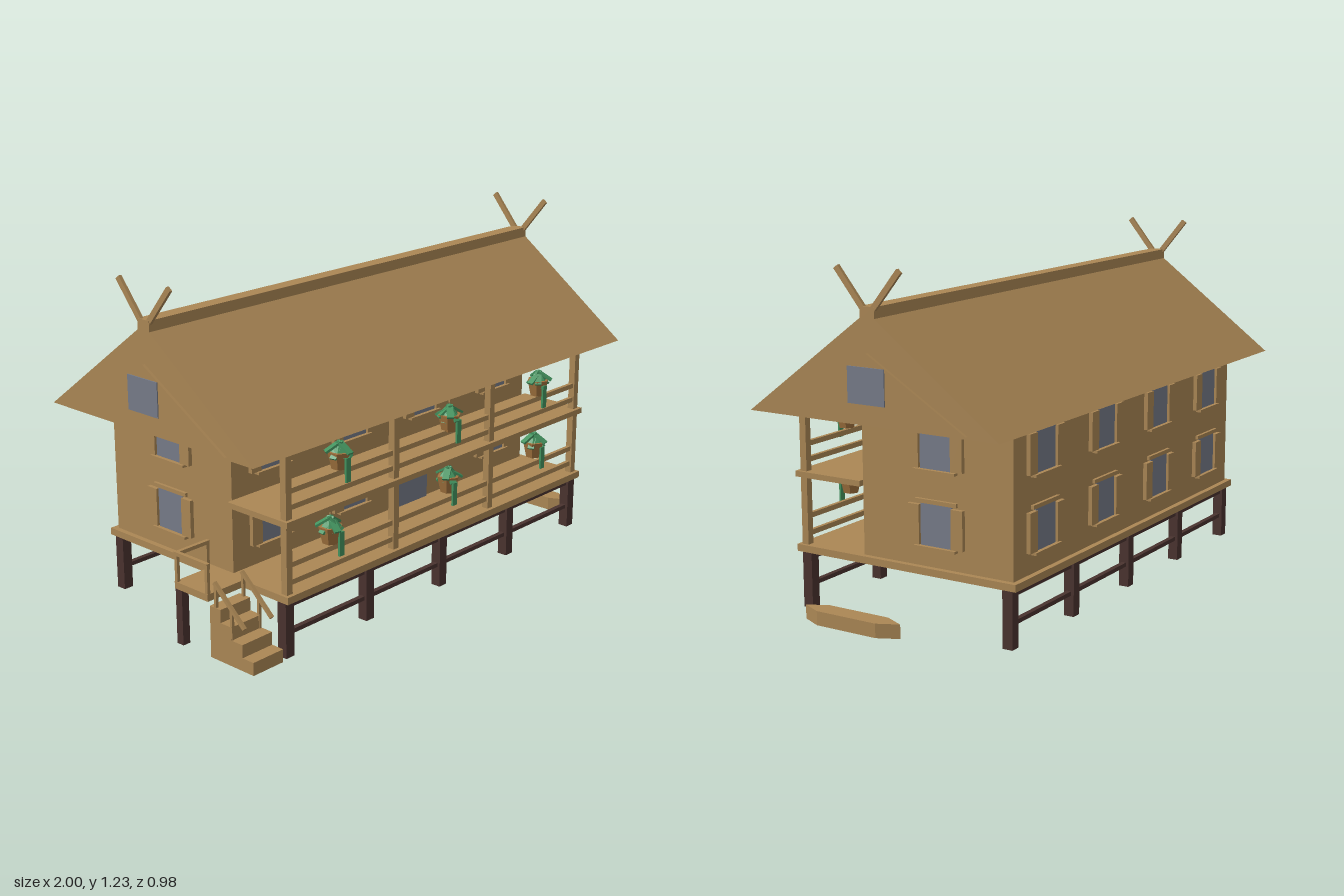
import * as THREE from 'three';

const mat = (name, color) => Object.assign(new THREE.MeshStandardMaterial({ color }), { name });
const wood = mat('warm wood', 0xab8755);
const dark = mat('dark timber', 0x4a332f);
const glass = mat('window grey', 0x777c89);
const green = mat('leaf green', 0x43935f);
const clay = mat('pot brown', 0xa3743f);

function add(parent, name, geometry, material, x = 0, y = 0, z = 0) {
  const m = new THREE.Mesh(geometry, material);
  m.name = name;
  m.position.set(x, y, z);
  parent.add(m);
  return m;
}

// Box given by its minimum and maximum along each axis
function box(parent, name, material, x0, x1, y0, y1, z0, z1) {
  return add(parent, name, new THREE.BoxGeometry(x1 - x0, y1 - y0, z1 - z0), material,
    (x0 + x1) / 2, (y0 + y1) / 2, (z0 + z1) / 2);
}

// Outline of [z, y] points pulled along x
function prism(parent, name, material, pts, x0, x1) {
  const shape = new THREE.Shape(pts.map(([z, y]) => new THREE.Vector2(-z, y)));
  const g = new THREE.ExtrudeGeometry(shape, { depth: x1 - x0, bevelEnabled: false });
  g.rotateY(Math.PI / 2);
  return add(parent, name, g, material, x0);
}

// Square bar between two points in the same x plane
function bar(parent, name, material, x, z0, y0, z1, y1, w, t) {
  const m = add(parent, name, new THREE.BoxGeometry(w, Math.hypot(y1 - y0, z1 - z0), t), material,
    x, (y0 + y1) / 2, (z0 + z1) / 2);
  m.rotation.x = Math.atan2(z1 - z0, y1 - y0);
  return m;
}

// Shuttered window facing +z, then turned and placed on a wall
function addWindow(parent, x, y, z, turn) {
  const w = new THREE.Group();
  w.name = 'window';
  box(w, 'windowPane', glass, -0.062, 0.062, -0.072, 0.072, 0, 0.006);
  box(w, 'windowHeader', wood, -0.082, 0.082, 0.072, 0.086, 0, 0.011);
  box(w, 'windowSill', wood, -0.082, 0.082, -0.081, -0.072, 0, 0.02);
  for (const s of [-1, 1])
    add(w, 'shutter', new THREE.BoxGeometry(0.046, 0.136, 0.015), wood, s * 0.086, -0.002, 0.0075);
  w.position.set(x, y, z);
  w.rotation.y = turn;
  parent.add(w);
}

// Hanging pot with drooping leaves and a trailing vine
function addPlant(parent, x, top, turn) {
  const p = new THREE.Group();
  p.name = 'hangingPlant';
  add(p, 'pot', new THREE.CylinderGeometry(0.042, 0.028, 0.06, 6).toNonIndexed(), clay, 0, -0.077, 0)
    .geometry.computeVertexNormals();
  add(p, 'potHanger', new THREE.BoxGeometry(0.006, 0.03, 0.006), wood, 0, 0.01, 0);
  for (let i = 0; i < 9; i++) {
    const leaf = new THREE.BoxGeometry(0.024, 0.008, 0.06);
    leaf.translate(0, 0, 0.028);
    leaf.rotateX(0.55 + 0.25 * (i % 3));
    leaf.rotateY((i / 9) * Math.PI * 2 + turn);
    add(p, 'leaf', leaf, green, 0, -0.016 - 0.008 * (i % 2), 0);
  }
  add(p, 'leafCrown', new THREE.ConeGeometry(0.036, 0.045, 6).toNonIndexed(), green, 0, -0.03, 0)
    .geometry.computeVertexNormals();
  const vx = 0.012 * Math.sin(turn * 2);
  add(p, 'vine', new THREE.BoxGeometry(0.022, 0.085, 0.008), green, vx, -0.105, 0.037);
  p.position.set(x, top, 0.43);
  parent.add(p);
}

export function createModel() {
  const house = new THREE.Group();
  house.name = 'stiltHouse';

  // Stilts and tie beams
  for (const z of [0.419, -0.399]) {
    for (let i = -2; i <= 2; i++) {
      const x = i * 0.391;
      box(house, 'stilt', dark, x - 0.019, x + 0.019, 0, 0.2, z - 0.019, z + 0.019);
    }
    box(house, 'upperTieBeam', dark, -0.78, 0.78, 0.172, 0.194, z - 0.009, z + 0.009);
    box(house, 'lowerTieBeam', dark, -0.78, 0.78, 0.075, 0.09, z - 0.009, z + 0.009);
  }

  // Floors and walls
  box(house, 'mainFloor', wood, -0.808, 0.808, 0.2, 0.225, -0.435, 0.455);
  box(house, 'walls', wood, -0.788, 0.788, 0.225, 0.726, -0.415, 0.18);
  box(house, 'balconyFloor', wood, -0.808, 0.808, 0.465, 0.485, 0.18, 0.455);

  // Veranda posts and railings
  for (const x of [-0.784, -0.262, 0.262, 0.784])
    box(house, 'verandaPost', wood, x - 0.013, x + 0.013, 0.225, 0.726, 0.415, 0.441);
  for (const y of [0.262, 0.323, 0.522, 0.578])
    box(house, 'verandaRail', wood, -0.784, 0.784, y - 0.009, y + 0.009, 0.421, 0.435);

  // Windows and door
  for (const y of [0.37, 0.63]) {
    for (const x of [-0.6, -0.2, 0.2, 0.6]) {
      if (y > 0.5 || x !== 0.2) addWindow(house, x - (x === 0.2 ? 0.02 : 0), y, 0.18, 0);
      addWindow(house, x, y, -0.415, Math.PI);
    }
    for (const s of [-1, 1]) addWindow(house, s * 0.788, y, -0.12, s * Math.PI / 2);
  }
  box(house, 'door', glass, 0.04, 0.2, 0.225, 0.45, 0.18, 0.189);

  // Solid roof with ridge cap
  prism(house, 'roof', wood, [[-0.49, 0.725], [0.49, 0.725], [0.028, 1.07], [-0.028, 1.07]], -0.985, 0.985);
  box(house, 'ridgeCap', wood, -0.985, 0.985, 1.065, 1.107, -0.028, 0.028);

  // Gable panels, attic windows and crossed finials
  for (const s of [-1, 1]) {
    const x = s * 0.99;
    prism(house, 'gablePanel', wood, [[-0.375, 0.735], [0.375, 0.735], [0, 0.96]], x - 0.006, x + 0.006);
    box(house, 'atticWindow', glass, s * 0.996 - 0.004, s * 0.996 + 0.004, 0.796, 0.916, -0.072, 0.072);
    for (const d of [-1, 1])
      bar(house, 'roofFinial', wood, s * 0.977, d * 0.012, 1.09, d * 0.122, 1.225, 0.012, 0.02);
  }

  // Side landing with its post and railing
  box(house, 'landing', wood, -0.965, -0.8, 0.2, 0.225, 0.085, 0.245);
  box(house, 'landingStilt', dark, -0.962, -0.932, 0, 0.2, 0.085, 0.115);
  for (const [x, z] of [[-0.958, 0.238], [-0.958, 0.092], [-0.825, 0.092]])
    box(house, 'landingRailPost', wood, x - 0.006, x + 0.006, 0.225, 0.32, z - 0.006, z + 0.006);
  box(house, 'landingSideRail', wood, -0.965, -0.951, 0.318, 0.331, 0.085, 0.245);
  box(house, 'landingBackRail', wood, -0.965, -0.818, 0.318, 0.331, 0.085, 0.099);

  // Stairs as one stepped block, with a handrail on each side
  const steps = [[0.245, 0], [0.445, 0]];
  for (let i = 0; i < 4; i++)
    steps.push([0.445 - i * 0.05, 0.046 * (i + 1)], [0.395 - i * 0.05, 0.046 * (i + 1)]);
  prism(house, 'stairs', wood, steps, -0.957, -0.823);
  for (const x of [-0.951, -0.829]) {
    bar(house, 'stairHandrail', wood, x, 0.402, 0.147, 0.264, 0.27, 0.012, 0.012);
    box(house, 'stairRailPost', wood, x - 0.005, x + 0.005, 0.092, 0.2, 0.338, 0.348);
    box(house, 'stairRailPost', wood, x - 0.005, x + 0.005, 0.184, 0.263, 0.265, 0.275);
  }

  // Canoe lying beside the house
  const hull = new THREE.Shape([[0, -0.1975], [0.036, -0.122], [0.036, 0.122], [0, 0.1975], [-0.036, 0.122], [-0.036, -0.122]]
    .map(([x, y]) => new THREE.Vector2(x, y)));
  const hullGeometry = new THREE.ExtrudeGeometry(hull, { depth: 0.05, bevelEnabled: false });
  hullGeometry.rotateX(-Math.PI / 2);
  add(house, 'canoe', hullGeometry, wood, 0.899, 0, 0.152);

  // Hanging plants
  [[-0.535, 0.7], [0.03, 0.69], [0.55, 0.7], [-0.58, 0.45], [0.03, 0.46], [0.535, 0.46]]
    .forEach(([x, y], i) => addPlant(house, x, y, i * 1.3));

  return house;
}
